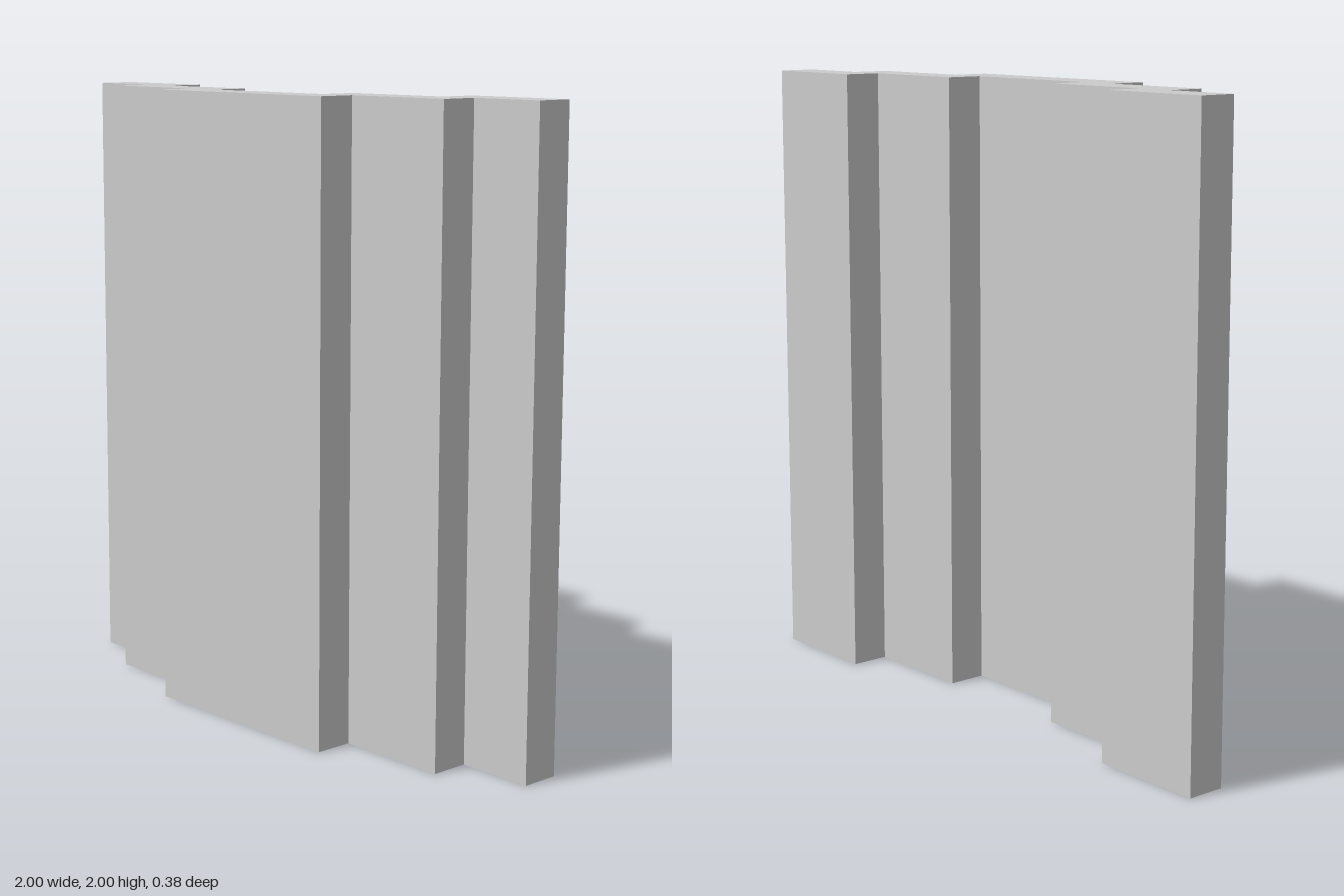
import * as THREE from 'three';

export function createModel() {
  const group = new THREE.Group();
  group.name = 'steppedPanel';

  const height = 2;
  const u = 0.125; // panel thickness and step unit

  // Half of the plan outline as [x, z]: front edge from centre outwards, then the back edge inwards
  const half = [
    [3, 1.5], [3, 0.5], [6, 0.5], [6, -0.5], [8, -0.5],
    [8, -1.5], [5, -1.5], [5, -0.5], [2, -0.5], [2, 0.5],
  ];
  const mirrored = half.map(([x, z]) => [-x, z]).reverse();

  // Shape y is -z, so turning the extrusion upright puts the front at +z
  const outline = new THREE.Shape(
    [...half, ...mirrored].map(([x, z]) => new THREE.Vector2(x * u, -z * u))
  );
  const geometry = new THREE.ExtrudeGeometry(outline, { depth: height, bevelEnabled: false });
  geometry.rotateX(-Math.PI / 2);

  // Stepped wall panel
  const panel = new THREE.Mesh(
    geometry,
    new THREE.MeshStandardMaterial({ color: 0xcccccc, flatShading: true })
  );
  panel.name = 'panel';
  group.add(panel);
  return group;
}
